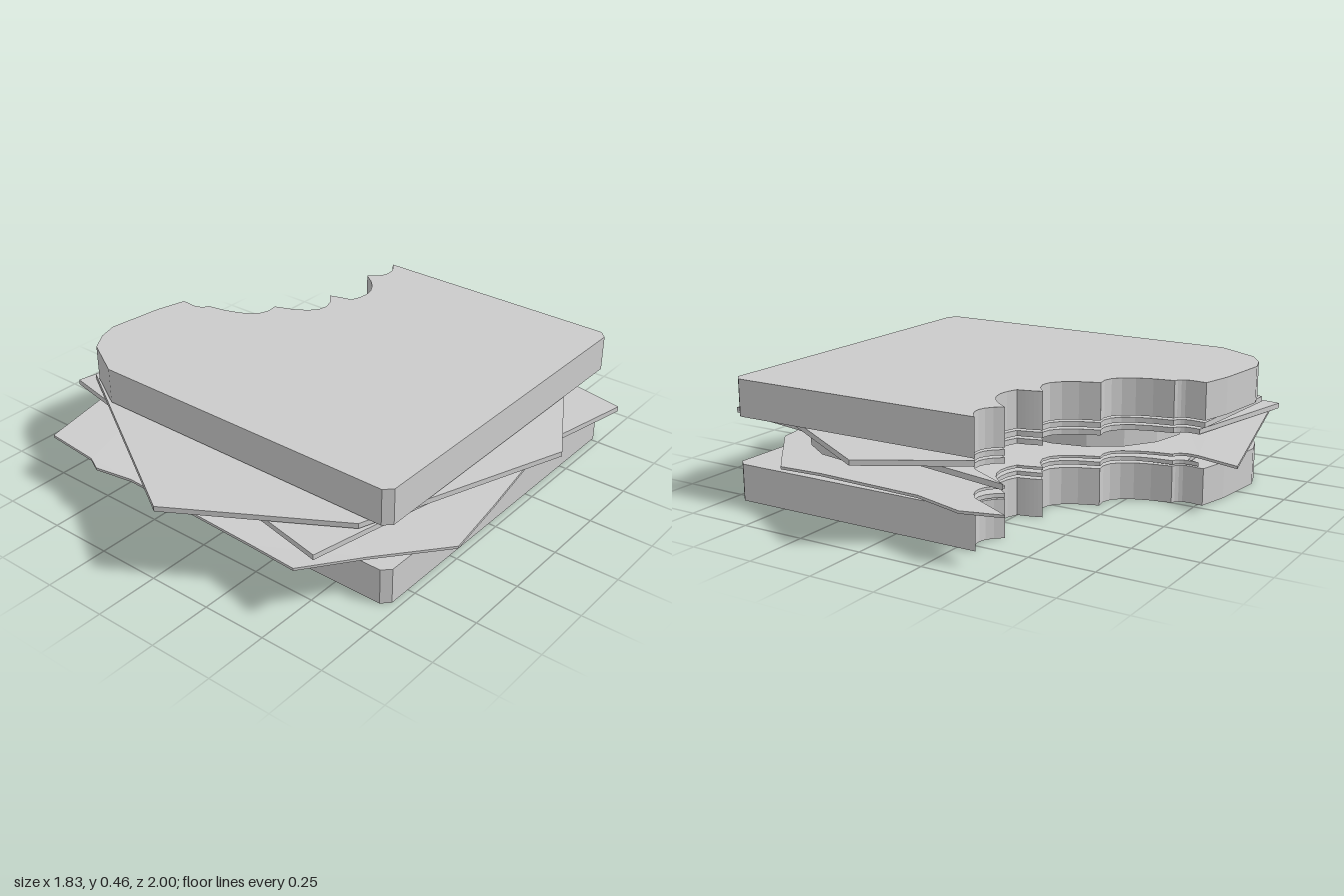
import * as THREE from 'three';

// Scallops of the bite: through-point, then end point, as [x, z]
const BITE = [
  [[-0.285, -0.71], [-0.34, -0.635]],
  [[-0.24, -0.53], [-0.25, -0.41]],
  [[-0.295, -0.4], [-0.34, -0.385]],
  [[-0.295, -0.26], [-0.45, -0.165]],
  [[-0.48, -0.06], [-0.66, 0.0]],
  [[-0.69, 0.03], [-0.75, 0.03]],
];

// Outline runs round the uneaten rim and closes along the bite
function bittenShape(rim) {
  const shape = new THREE.Shape();
  shape.moveTo(...rim[0]);
  rim.slice(1).forEach((p) => shape.lineTo(...p));
  let from = [-0.325, -0.795];
  shape.lineTo(...from);
  for (const [mid, end] of BITE) {
    const control = [0, 1].map((i) => 2 * mid[i] - (from[i] + end[i]) / 2);
    shape.quadraticCurveTo(...control, ...end);
    from = end;
  }
  return shape;
}

export function createModel() {
  const group = new THREE.Group();
  const material = new THREE.MeshStandardMaterial({
    color: 0xcccccc, flatShading: true, side: THREE.DoubleSide,
  });

  function add(name, geometry) {
    const mesh = new THREE.Mesh(geometry, material);
    mesh.name = name;
    group.add(mesh);
    return mesh;
  }

  // Flat bitten slab between two heights
  function slab(name, rim, bottom, top) {
    const geometry = new THREE.ExtrudeGeometry(bittenShape(rim), {
      depth: top - bottom, bevelEnabled: false, curveSegments: 6,
    });
    geometry.rotateX(Math.PI / 2).translate(0, top, 0);
    return add(name, geometry);
  }

  // Bread slices
  const bread = [
    [-0.77, 0.03], [-0.8, 0.15], [-0.825, 0.37], [-0.8, 0.45], [-0.75, 0.525],
    [-0.58, 0.62], [0.69, 0.62], [0.72, 0.59], [0.72, -0.765], [0.69, -0.795],
  ];
  slab('bottomBread', bread, 0, 0.14);
  slab('topBread', bread, 0.32, 0.46);

  // Lower leaf, gently domed towards its middle
  const lower = slab('lowerLeaf', [
    [-0.7, 0.05], [-0.68, 0.4], [-0.58, 0.64], [0.3, 0.62], [0.61, 0.5],
    [0.6, -0.4], [0.45, -0.76],
  ], 0.145, 0.16);
  // Upper leaf with corners that lift and droop
  const upper = slab('upperLeaf', [
    [-0.92, -0.02], [-0.73, 0.79], [-0.5, 0.81], [-0.44, 0.84], [-0.29, 0.81],
    [0.31, 0.83], [0.5, 0.84], [0.65, 0.64], [0.85, 0.4], [0.81, 0.12],
    [0.7, -0.55], [0.5, -0.8], [0.45, -0.86], [0.28, -0.85], [-0.15, -0.87],
    [-0.35, -0.93], [-0.5, -0.89],
  ], 0.176, 0.186);
  function warp(mesh, rule) {
    const p = mesh.geometry.attributes.position;
    for (let i = 0; i < p.count; i++) p.setY(i, p.getY(i) + rule(p.getX(i), p.getZ(i)));
    mesh.geometry.computeVertexNormals();
  }
  warp(lower, (x, z) => 0.015 * Math.max(0, 1 - Math.hypot(x, z) / 0.7));
  warp(upper, (x, z) => 0.014 * Math.max(0, 1 - Math.hypot(x + 0.65, z - 0.78) / 0.5));

  // Round tomato slices
  for (const [x, z] of [[-0.235, 0.205], [0.255, -0.375]]) {
    const slice = add('tomatoSlice', new THREE.CylinderGeometry(0.355, 0.355, 0.065, 16));
    slice.position.set(x, 0.2325, z);
  }

  // Two cheese sheets turned against each other
  slab('lowerCheese', [
    [-0.745, 0.03], [-0.855, 0.54], [0.59, 0.845], [0.89, -0.6], [-0.49, -0.885],
  ], 0.265, 0.285);
  slab('upperCheese', [
    [-0.77, 0.03], [-0.8, 0.5], [0.03, 1], [0.62, 0.65], [0.91, -0.15],
    [0.63, -0.64], [0.03, -1],
  ], 0.293, 0.313);

  return group;
}
